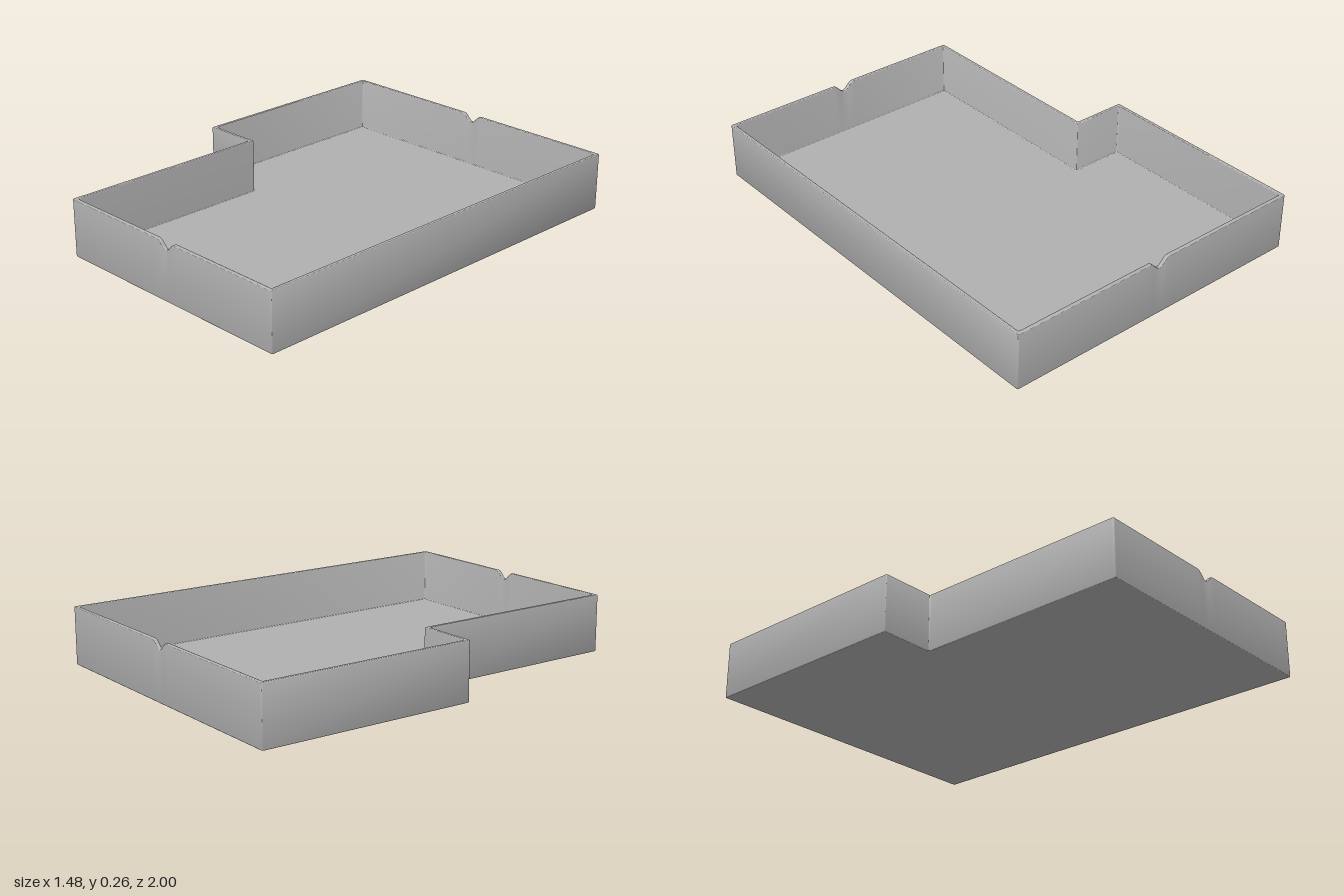
import * as THREE from 'three';
import { toCreasedNormals } from 'three/addons/utils/BufferGeometryUtils.js';

const H = 0.265, T = 0.018, FLOOR = 0.018, B = 0.004, R = 0.008;
const NOTCH = { half: 0.053, depth: 0.036, steps: 20 };

// Outer footprint, counter-clockwise from above, as (x, -z)
const corners = [
  [0.742, -1], [0.742, 1], [-0.742, 1], [-0.742, -0.014], [-0.486, -0.014], [-0.486, -1],
].map(([x, y]) => new THREE.Vector2(x, y));
// Finger notch centre for the edges that carry one: edge index -> x
const notches = { 1: 0, 5: 0.128 };

// Footprint inset by d, with rounded corners and extra points along each notch
function ring(d) {
  const n = corners.length, pts = [];
  const dir = (i) => corners[(i + 1) % n].clone().sub(corners[i % n]).normalize();
  for (let i = 0; i < n; i++) {
    const a = dir(i + n - 1), b = dir(i);
    const c = corners[i].clone().add(new THREE.Vector2(-a.y - b.y, a.x + b.x).multiplyScalar(d));
    const curve = new THREE.QuadraticBezierCurve(
      c.clone().addScaledVector(a, -R), c, c.clone().addScaledVector(b, R));
    curve.getPoints(5).forEach((p) => pts.push({ x: p.x, y: p.y, drop: 0 }));
    if (!(i in notches)) continue;
    for (let k = 0; k <= NOTCH.steps; k++) {
      const u = (k / NOTCH.steps) * 2 - 1;
      pts.push({
        x: notches[i] + u * NOTCH.half * b.x, y: c.y,
        drop: NOTCH.depth * 0.5 * (1 + Math.cos(Math.PI * u)),
      });
    }
  }
  return pts;
}

// Wall cross-section as (inset, height): up the outside, over the rim, down the inside
function wallProfile() {
  const p = [];
  const arc = (cx, cy, from, to) => {
    for (let k = 0; k <= 3; k++) {
      const t = from + ((to - from) * k) / 3;
      p.push([cx + B * Math.cos(t), cy + B * Math.sin(t)]);
    }
  };
  const P = Math.PI;
  arc(B, B, 1.5 * P, P);
  arc(B, H - B, P, P / 2);
  arc(T - B, H - B, P / 2, 0);
  arc(T + B, FLOOR + B, P, 1.5 * P);
  return p;
}

// Loft the cross-section around the footprint
function wallGeometry() {
  const pos = [], idx = [], profile = wallProfile();
  const n = ring(0).length;
  profile.forEach(([d, y], j) => {
    ring(d).forEach((p, i) => {
      pos.push(p.x, y > H / 2 ? y - p.drop : y, -p.y);
      if (j === profile.length - 1) return;
      const a = j * n + i, b = j * n + ((i + 1) % n);
      idx.push(a, b, b + n, a, b + n, a + n);
    });
  });
  const g = new THREE.BufferGeometry();
  g.setAttribute('position', new THREE.Float32BufferAttribute(pos, 3));
  g.setIndex(idx);
  return toCreasedNormals(g, 0.6);
}

// Flat panel filling the footprint inset by d; side is 1 facing up, -1 facing down
function panelGeometry(d, y, side) {
  const shape = new THREE.Shape(ring(d).map((p) => new THREE.Vector2(p.x, p.y * side)));
  return new THREE.ShapeGeometry(shape).rotateX((-side * Math.PI) / 2).translate(0, y, 0);
}

export function createModel() {
  const grey = new THREE.MeshStandardMaterial({ color: 0xb0b0b0 });
  grey.name = 'grey plastic';
  const group = new THREE.Group();
  group.name = 'tray';
  const add = (name, geometry) => {
    const mesh = new THREE.Mesh(geometry, grey);
    mesh.name = name;
    group.add(mesh);
  };
  add('walls', wallGeometry());
  add('floor', panelGeometry(T + B, FLOOR, 1));
  add('underside', panelGeometry(B, 0, -1));
  return group;
}
